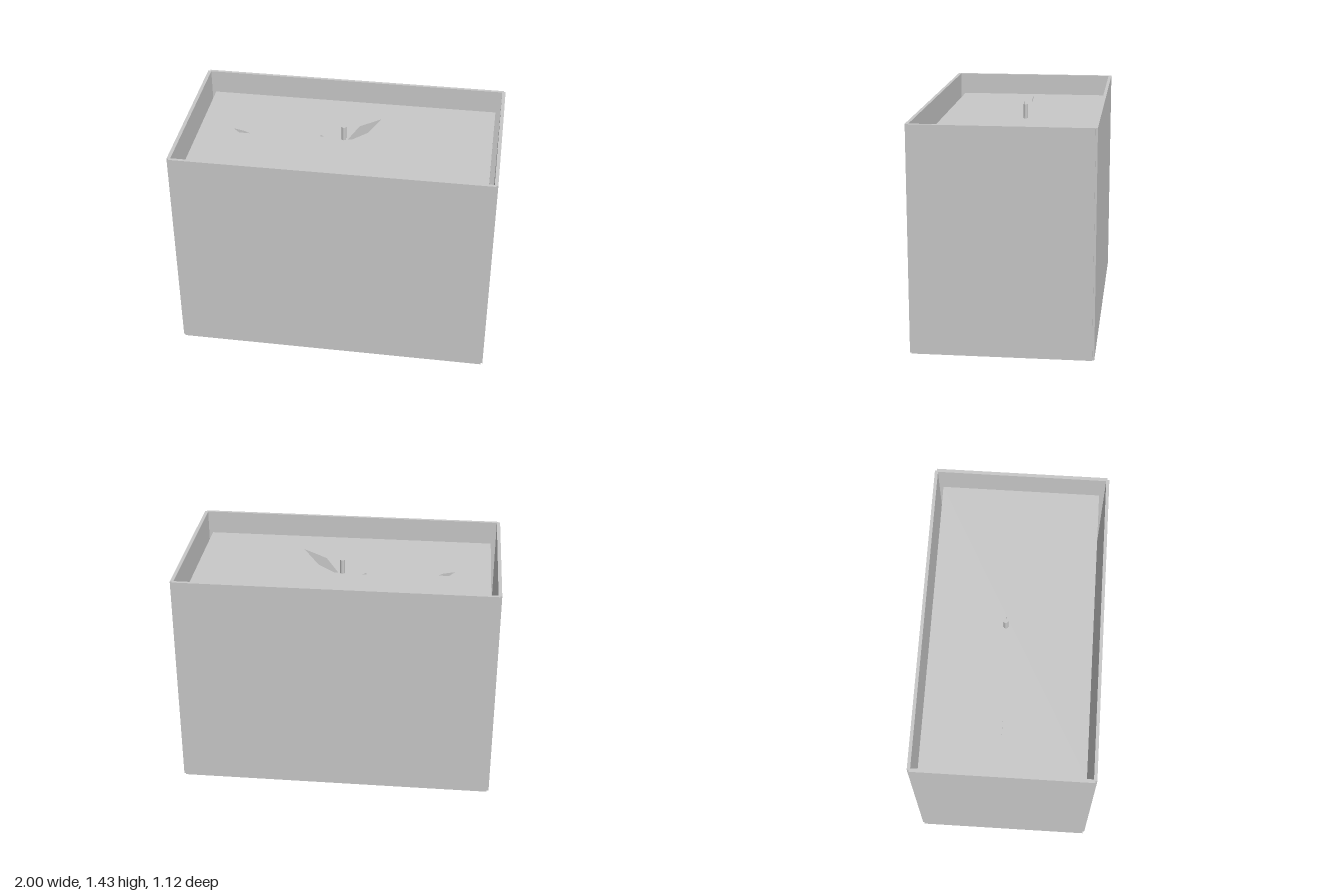
import * as THREE from 'three';

export function createModel() {
  const model = new THREE.Group();
  const grey = new THREE.MeshStandardMaterial({ color: 0xc8c8c8 });
  grey.name = 'pale grey';
  const leafGrey = grey.clone();
  leafGrey.name = 'pale grey leaf';
  leafGrey.side = THREE.DoubleSide;

  const add = (name, geometry, material, x, y, z) => {
    const mesh = new THREE.Mesh(geometry, material);
    mesh.name = name;
    mesh.position.set(x, y, z);
    model.add(mesh);
    return mesh;
  };
  const box = (name, w, h, d, x, y, z) =>
    add(name, new THREE.BoxGeometry(w, h, d), grey, x, y, z);

  // Tank walls, with a small notch at each upright corner
  const height = 1.41, water = 1.273;
  for (const s of [-1, 1]) {
    box(s > 0 ? 'frontWall' : 'backWall', 1.976, height, 0.02, 0, height / 2, s * 0.548);
    box(s > 0 ? 'leftWall' : 'rightWall', 0.022, height, 1.092, s * 0.989, height / 2, 0);
  }

  // Floor, slightly raised inside the walls
  box('floor', 1.956, 0.02, 1.076, 0, 0.026, 0);

  // Body of water, standing clear of the walls
  box('water', 1.89, water - 0.036, 1.01, 0, (water + 0.036) / 2, -0.002);

  // Upright stem rising through the surface
  add('stem', new THREE.CylinderGeometry(0.015, 0.015, 1.33, 16), grey, 0, 0.036 + 0.665, -0.04);

  // Flat leaves: outlines in x and y, each turned a little about the stem
  const leaf = (name, points, z, turn) => {
    const shape = new THREE.Shape(points.map(([x, y]) => new THREE.Vector2(x, y)));
    add(name, new THREE.ShapeGeometry(shape), leafGrey, 0, 0, z).rotation.y = turn;
  };
  leaf('largeLeaf', [[0.01, 1.25], [0.153, 1.328], [0.24, 1.434], [0.10, 1.374]], -0.038, 0.07);
  leaf('leafTip', [[-0.11, 1.25], [-0.13, 1.273], [-0.155, 1.286], [-0.15, 1.25]], -0.05, 0);
  leaf('sideLeaf', [[-0.66, 1.25], [-0.56, 1.25], [-0.64, 1.287], [-0.715, 1.302], [-0.68, 1.273]], -0.02, 0);

  return model;
}
